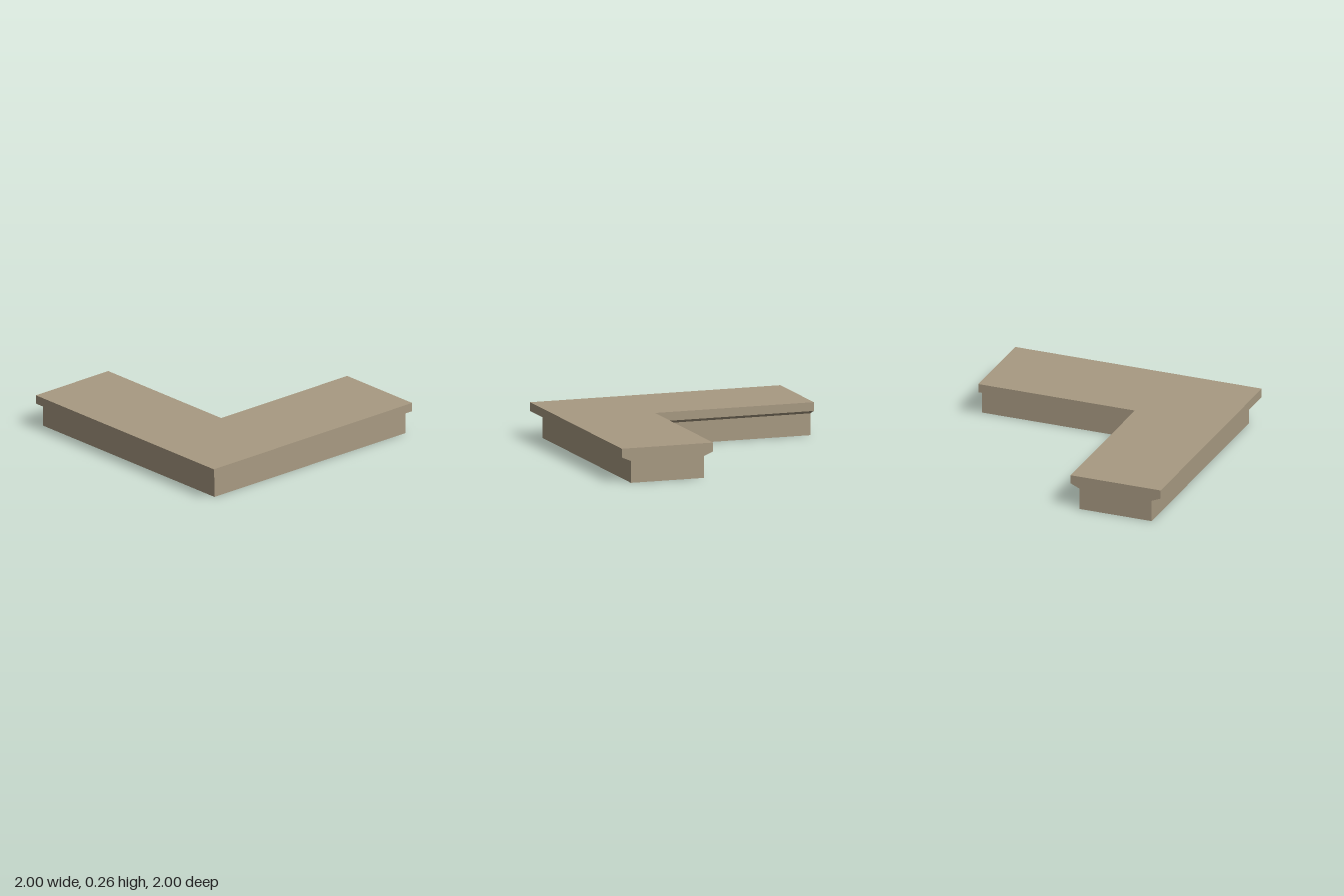
import * as THREE from 'three';

// L-shaped outline, counter-clockwise from above; the long sides step in by `inset`, the arm ends stay flush
function outline(inset, y) {
  return [
    [-1 + inset, -1], [-1 + inset, 1 - inset], [1, 1 - inset],
    [1, 0.27 + inset], [-0.27 - inset, 0.27 + inset], [-0.27 - inset, -1],
  ].map(([x, z]) => [x, y, z]);
}

const CAP = [[0, 1, 4], [0, 4, 5], [1, 2, 3], [1, 3, 4]];

// Walls between two outlines, with optional flat caps
function layer(low, high, { bottom = false, top = false } = {}) {
  const pos = [];
  const tri = (a, b, c) => pos.push(...a, ...b, ...c);
  low.forEach((a, i) => {
    const j = (i + 1) % low.length;
    tri(a, low[j], high[j]);
    tri(a, high[j], high[i]);
  });
  for (const [a, b, c] of CAP) {
    if (top) tri(high[a], high[b], high[c]);
    if (bottom) tri(low[a], low[c], low[b]);
  }
  const geometry = new THREE.BufferGeometry();
  geometry.setAttribute('position', new THREE.Float32BufferAttribute(pos, 3));
  geometry.computeVertexNormals();
  return geometry;
}

export function createModel() {
  const stone = new THREE.MeshStandardMaterial({ color: 0xa89a82 });
  stone.name = 'sandstone';

  const group = new THREE.Group();
  group.name = 'cornerLedge';
  const add = (name, geometry) => {
    const mesh = new THREE.Mesh(geometry, stone);
    mesh.name = name;
    group.add(mesh);
  };

  const inset = 0.073;
  const baseTop = 0.167, slabBottom = 0.198, slabTop = 0.265;

  // Recessed base, sloped underside of the overhang, and top slab
  add('base', layer(outline(inset, 0), outline(inset, baseTop), { bottom: true }));
  add('slopedUnderside', layer(outline(inset, baseTop), outline(0, slabBottom)));
  add('topSlab', layer(outline(0, slabBottom), outline(0, slabTop), { top: true }));

  return group;
}
